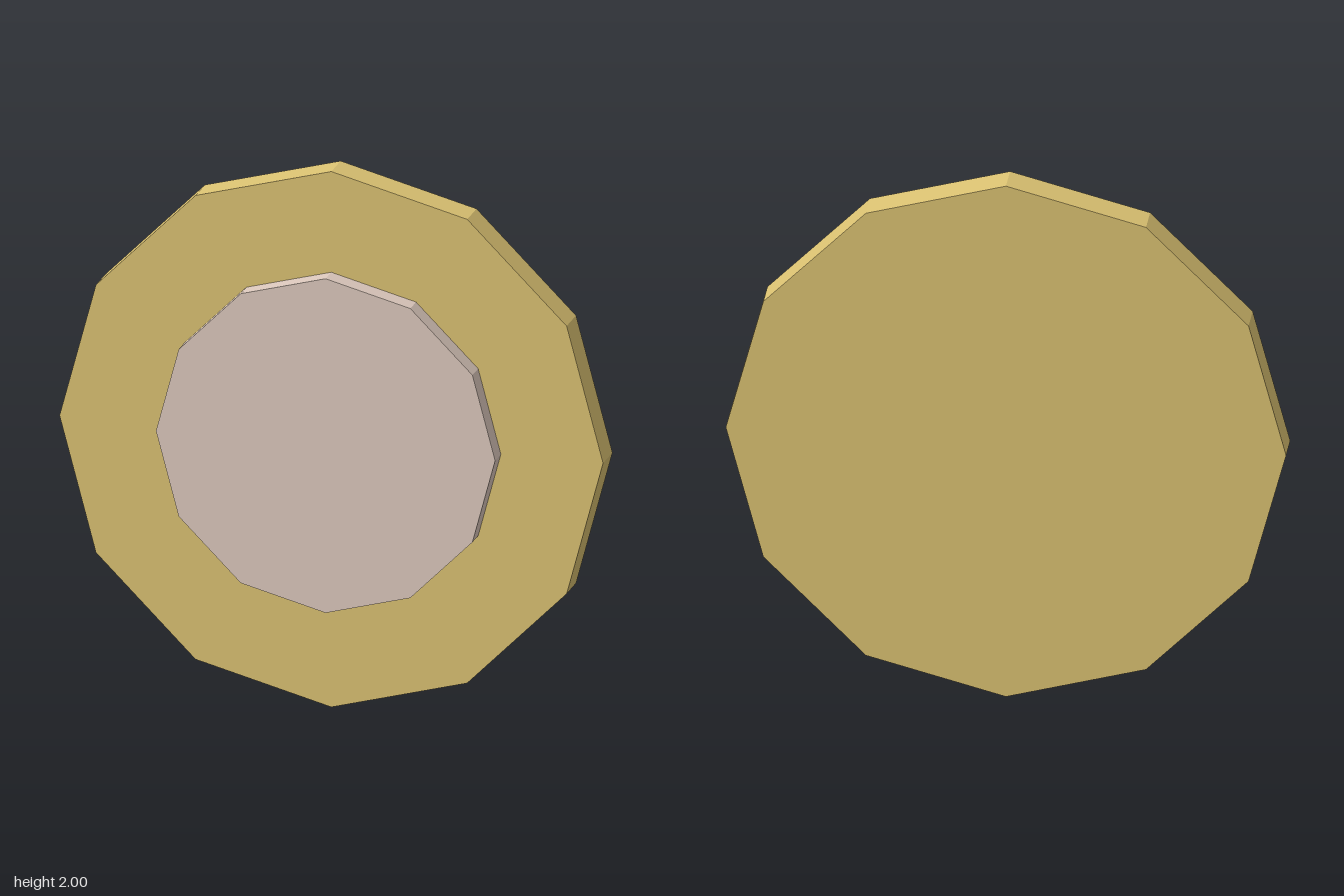
import * as THREE from 'three';

const gold = new THREE.MeshStandardMaterial({ name: 'gold', color: 0xdbc272, flatShading: true });
const paleRose = new THREE.MeshStandardMaterial({ name: 'paleRose', color: 0xdcc8bc, flatShading: true });

// Twelve-sided disc facing +z, between two depths
function disc(name, radius, back, front, material) {
  const geometry = new THREE.CylinderGeometry(radius, radius, front - back, 12);
  geometry.rotateX(Math.PI / 2);
  const mesh = new THREE.Mesh(geometry, material);
  mesh.name = name;
  mesh.position.set(0, 1, (front + back) / 2);
  return mesh;
}

export function createModel() {
  const model = new THREE.Group();
  model.name = 'medallion';
  // Wide backing disc with a smaller raised disc on its front
  model.add(disc('baseDisc', 1, -0.1, 0.024, gold));
  model.add(disc('raisedCentre', 0.624, 0.024, 0.1, paleRose));
  return model;
}
